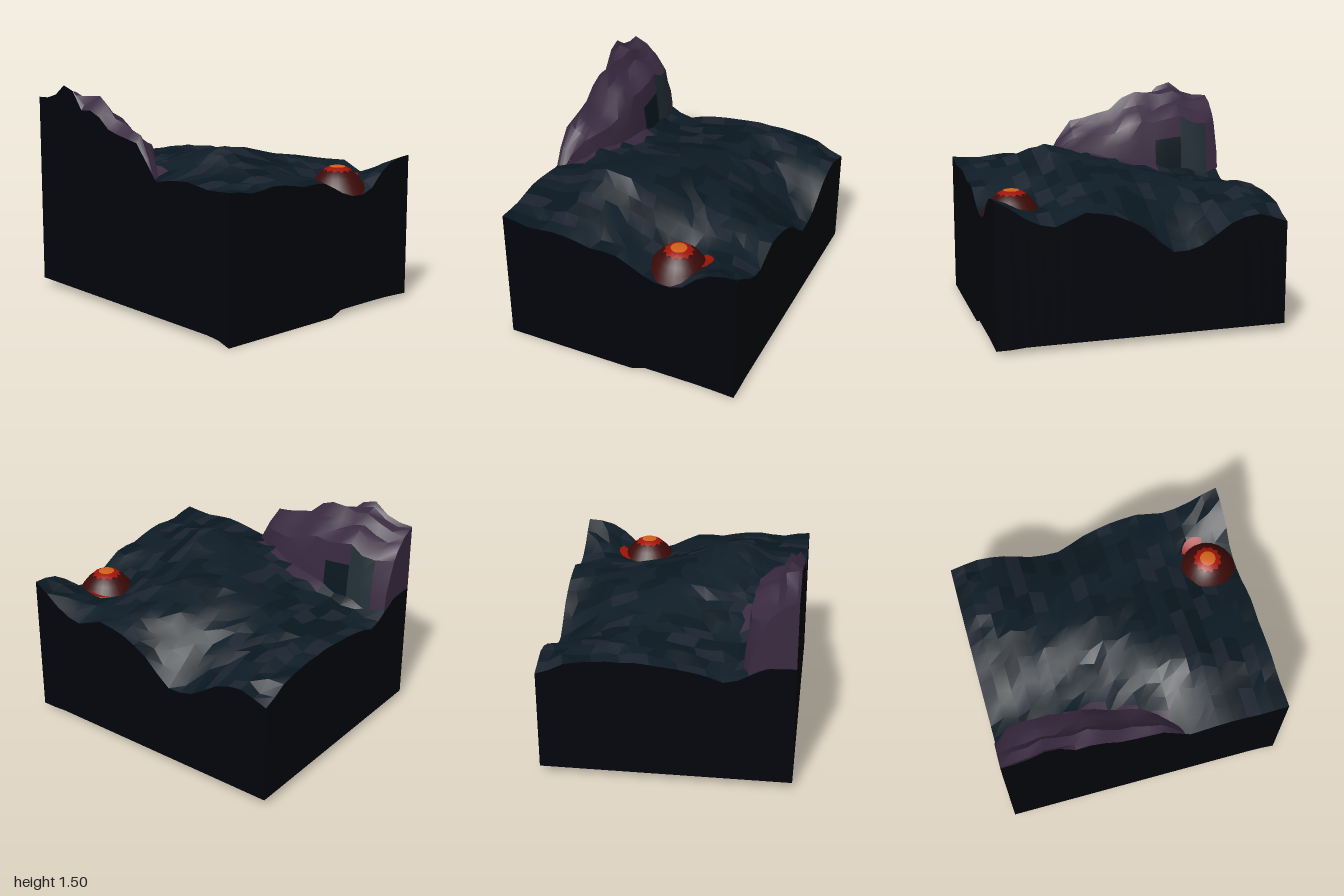
import * as THREE from 'three';
import { toCreasedNormals } from 'three/addons/utils/BufferGeometryUtils.js';

const W = 0.855, NX = 18, NZ = 20;
const mat = (color) => new THREE.MeshStandardMaterial({ color });

// Ground heights: rows from front (z = 1) to back, columns from x = -W to W
const HEIGHTS = [
  [1.0, 0.97, 0.985, 0.95, 0.945, 0.84, 0.82, 0.99, 1.025],
  [0.99, 0.99, 1.03, 1.0, 0.95, 0.86, 0.83, 0.93, 0.9],
  [1.01, 1.02, 1.07, 1.04, 0.99, 0.91, 0.86, 0.88, 0.83],
  [0.98, 1.02, 1.15, 1.13, 1.05, 0.99, 0.95, 0.92, 0.91],
  [0.96, 1.0, 1.08, 1.1, 1.06, 1.02, 0.98, 0.93, 0.88],
  [0.97, 1.01, 1.02, 1.04, 1.06, 1.02, 0.97, 0.87, 0.78],
  [0.96, 0.99, 0.97, 0.98, 1.01, 0.99, 0.9, 0.77, 0.615],
  [0.95, 0.97, 0.92, 0.92, 0.95, 0.95, 0.87, 0.76, 0.65],
  [0.95, 0.95, 0.87, 0.88, 0.92, 0.92, 0.88, 0.82, 0.78],
  [0.93, 0.93, 0.83, 0.86, 0.9, 0.92, 0.91, 0.88, 0.83],
  [0.92, 0.9, 0.79, 0.84, 0.87, 0.89, 0.89, 0.86, 0.77],
];
// Boulder ridge height and width, every 0.1 from z = 0.3 to z = -1
const ROCK_TOP = [0.9, 1.11, 1.25, 1.27, 1.29, 1.32, 1.41, 1.455, 1.445, 1.475, 1.505, 1.43, 1.4, 1.395];
const ROCK_WIDTH = [0.04, 0.09, 0.17, 0.23, 0.27, 0.29, 0.31, 0.32, 0.33, 0.335, 0.335, 0.34, 0.34, 0.31];
// Boulder cross-section: [distance from the wall, share of height];
// the front rows crest a little inside the wall
const ROCK_PROFILE = [[0, 1], [0.06, 0.94], [0.28, 0.91], [0.4, 0.78], [0.62, 0.75], [0.9, 0.61], [0.95, 0.36], [1, 0.1], [1.02, -0.15]];
const FRONT_PROFILE = [[0, 0.82], [0.08, 0.88], [0.25, 0.99], [0.42, 0.82], [0.62, 0.75], [0.9, 0.61], [0.95, 0.36], [1, 0.1], [1.02, -0.15]];
const BACK_PROFILE = [[0, 1], [0.06, 0.98], [0.28, 0.92], [0.4, 0.86], [0.58, 0.76], [0.7, 0.61], [0.79, 0.45], [0.95, 0.15], [1, -0.1]];

function hash(a, b) {
  const s = Math.sin(a * 12.9898 + b * 78.233) * 43758.5453;
  return s - Math.floor(s);
}

// Catmull-Rom sample of an evenly spaced list
function spline(list, t) {
  const n = list.length - 1;
  const i = Math.min(Math.floor(t), n - 1), f = t - i;
  const [a, b, c, d] = [-1, 0, 1, 2].map((k) => list[THREE.MathUtils.clamp(i + k, 0, n)]);
  return b + 0.5 * f * (c - a + f * (2 * a - 5 * b + 4 * c - d + f * (3 * (b - c) + d - a)));
}

function ground(x, z) {
  const u = THREE.MathUtils.clamp((x + W) / (2 * W) * 8, 0, 8);
  const v = THREE.MathUtils.clamp((1 - z) * 5, 0, 10);
  return spline(HEIGHTS.map((row) => spline(row, u)), v);
}

// Ground with small bumps, weaker on the rim
function bumpyGround(x, z) {
  const rim = Math.abs(x) > W - 0.01 || Math.abs(z) > 0.99;
  return ground(x, z) + (rim ? 0.01 : 0.032) * (hash(Math.round(x * 200), Math.round(z * 200)) - 0.5);
}

const rockRow = (z) => Math.round((0.3 - z) * 10);

// Boulder point i across row k, counted from the front
function rockPoint(i, k) {
  const profile = k < 9 ? FRONT_PROFILE : k === 13 ? BACK_PROFILE : ROCK_PROFILE;
  const [u, f] = profile[i], z = 0.3 - k * 0.1;
  const base = Math.min(ROCK_TOP[k], 0.92 + Math.max(0, z + 0.5) * 0.05);
  const rough = i > 1 && i < 6 ? 0.02 : 0;
  const x = -W + ROCK_WIDTH[k] * u + rough * (hash(i, k) - 0.5);
  return [x, base + (ROCK_TOP[k] - base) * f + rough * (hash(k, i) - 0.5), z];
}

// Underside, with a worn front edge
function underside(x, z) {
  if (z < 0.95) return z > 0.85 ? 0.03 : 0.045 - z * 0.008;
  return 0.04 * THREE.MathUtils.smoothstep(x, 0.08, 0.2) - Math.max(0, x - 0.62) * 0.05;
}

// Surface from a grid of points; tone(i, j) picks the material of each cell
function gridMesh(name, nu, nv, point, materials, tone = () => 0, crease = 0.3) {
  const pos = [], cells = materials.map(() => []);
  for (let j = 0; j <= nv; j++) for (let i = 0; i <= nu; i++) pos.push(...point(i, j));
  for (let j = 0; j < nv; j++) {
    for (let i = 0; i < nu; i++) {
      const a = j * (nu + 1) + i, b = a + nu + 1;
      cells[tone(i, j)].push(a, b, b + 1, a, b + 1, a + 1);
    }
  }
  const geo = new THREE.BufferGeometry();
  geo.setAttribute('position', new THREE.Float32BufferAttribute(pos, 3));
  geo.setIndex(cells.flat());
  let start = 0;
  cells.forEach((c, k) => {
    geo.addGroup(start, c.length, k);
    start += c.length;
  });
  const mesh = new THREE.Mesh(toCreasedNormals(geo, crease), materials);
  mesh.name = name;
  return mesh;
}

export function createModel() {
  const model = new THREE.Group();
  const teal = mat(0x0e1c26), slate = mat(0x19222e), deep = mat(0x0a1720);
  const purple = mat(0x3a2a41), earth = mat(0x02040b), red = mat(0xa01408);
  const gx = (i) => -W + (2 * W * i) / NX;
  const gz = (j) => -1 + (2 * j) / NZ;

  // Rolling ground with patches of stone
  model.add(gridMesh('ground', NX, NZ, (i, j) => {
    const inside = i > 0 && i < NX && j > 0 && j < NZ;
    const x = gx(i) + (inside && j % 2 ? 0.03 : 0);
    return [x, bumpyGround(x, gz(j)), gz(j)];
  }, [teal, slate, deep, purple], (i, j) => {
    const x = gx(i + 0.5), z = gz(j + 0.5);
    if (z > -0.45 && z < 0.2 && x < -W + 0.03 + ROCK_WIDTH[rockRow(z)]) return 3;
    const h = hash(Math.floor((i + j * 0.5) / 2), j + 3);
    return h > 0.78 ? 1 : h < 0.2 ? 2 : 0;
  }));

  // Boulder ridge along the right-hand wall
  const last = ROCK_TOP.length - 1, nu = ROCK_PROFILE.length - 1;
  model.add(gridMesh('boulder', nu, last, (i, j) => rockPoint(i, last - j), [purple, deep, mat(0x222f37)], (i, j) => {
    const z = -0.95 + j * 0.1;
    if (i < 5) return 0;
    if (z > -0.7 && z < -0.48 && i > 5) return 1;
    return z > -0.9 && z < -0.7 ? 2 : 0;
  }, 0.7));
  model.add(gridMesh('boulderBack', nu, 1, (i, j) => {
    const [x, y, z] = rockPoint(nu - i, last);
    return [x, j ? Math.min(y, ground(x, -1)) : y, z];
  }, [purple]));

  // Cut earth walls, corner to corner
  const walls = [
    ['frontWall', NX, (i) => [gx(i), 1]],
    ['backWall', NX, (i) => [gx(NX - i), -1]],
    ['leftWall', NZ, (i) => [W, gz(NZ - i)]],
    ['rightWall', NZ, (i) => [-W, gz(i)]],
  ];
  for (const [name, n, at] of walls) {
    model.add(gridMesh(name, n, 1, (i, j) => {
      const [x, z] = at(i);
      const rock = name === 'rightWall' && z < 0.35 ? rockPoint(0, rockRow(z))[1] : 0;
      return [x, j ? underside(x, z) : Math.max(bumpyGround(x, z), rock), z];
    }, [earth]));
  }
  model.add(gridMesh('underside', NX, NZ, (i, j) => {
    const x = gx(i), z = gz(NZ - j);
    return [x, underside(x, z), z];
  }, [mat(0x010406)]));

  // Glowing dome: nested round sheets on one rounded profile
  const dome = new THREE.Group();
  dome.name = 'dome';
  const CX = 0.355, CZ = 0.79, R = 0.208;
  const sheet = (name, radius, notch, lift, material) => dome.add(gridMesh(name, 24, 6, (i, j) => {
    const r = ((i % 2 ? radius - notch : radius) * j) / 6, a = (i / 24) * Math.PI * 2;
    return [CX + r * Math.sin(a), 0.815 + 0.168 * (1 - (r / R) ** 2.4) + lift, CZ + r * Math.cos(a)];
  }, [material], () => 0, 0.8));
  sheet('domeShell', R, 0, 0, mat(0x3c0a08));
  sheet('domeRing', 0.104, 0.018, 0.004, red);
  sheet('domeCap', 0.055, 0, 0.007, mat(0xd0601a));
  // Red sliver of ground against the dome
  dome.add(gridMesh('domeEdge', 8, 2, (i, j) => {
    const t = i / 8, a = 1.5 + 0.9 * t;
    const r = 0.16 + (j / 2) * (0.04 + 0.03 * Math.sin(Math.PI * t));
    const x = CX + r * Math.sin(a), z = CZ + r * Math.cos(a);
    return [x, ground(x, z) + 0.012, z];
  }, [red]));
  model.add(dome);

  return model;
}
